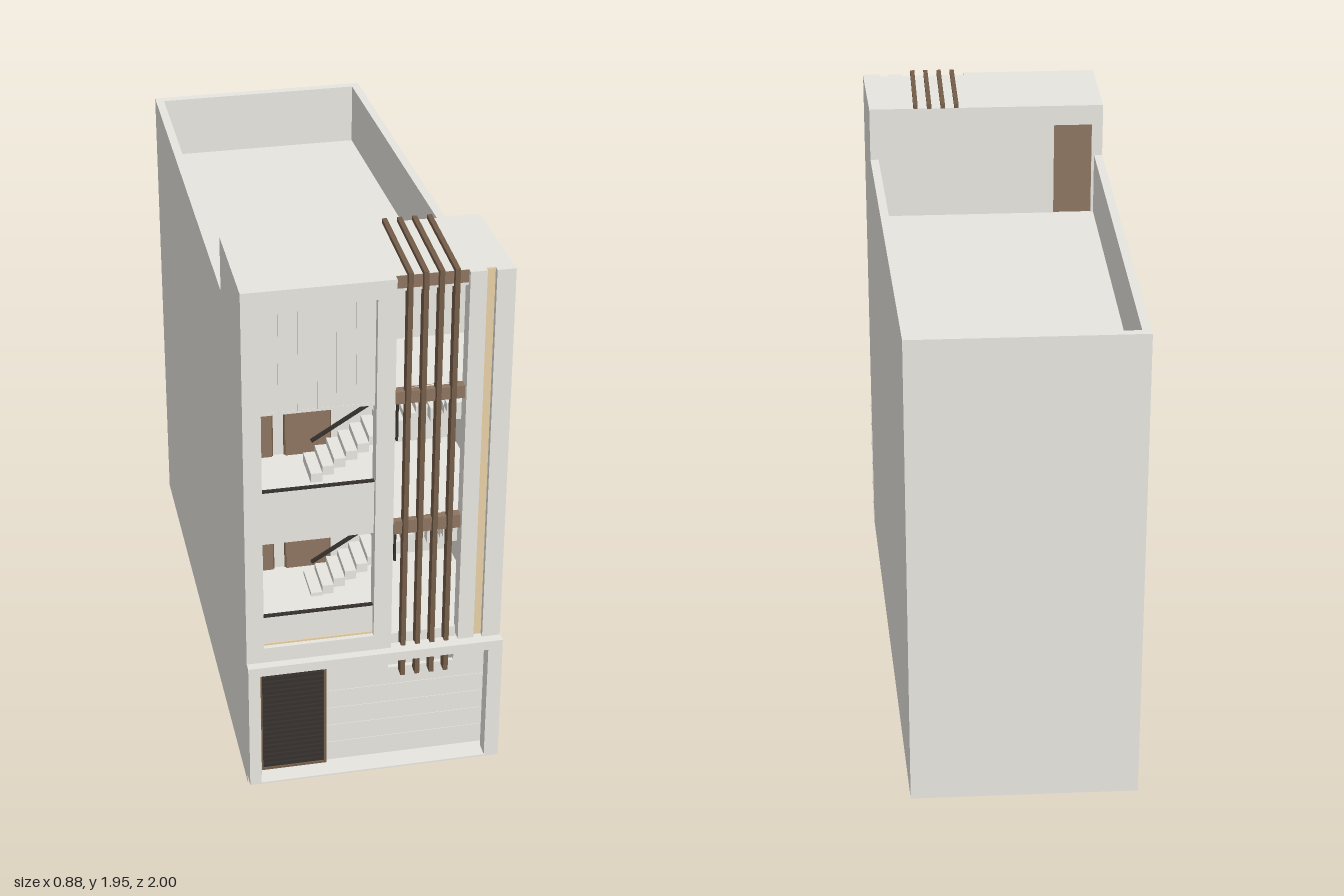
import * as THREE from 'three';

const mat = (name, color) => {
  const m = new THREE.MeshStandardMaterial({ color });
  m.name = name;
  return m;
};

export function createModel() {
  const house = new THREE.Group();
  house.name = 'townhouse';
  const wall = mat('warm grey plaster', 0xe7e5e0);
  const brown = mat('brown timber', 0x8d7560);
  const bronze = mat('bronze slats', 0x745d49);
  const black = mat('charcoal metal', 0x35302d);
  const tan = mat('amber light strip', 0xead2a7);

  const add = (geo, m, name) => {
    const mesh = new THREE.Mesh(geo, m);
    mesh.name = name;
    house.add(mesh);
    return mesh;
  };
  // box given by its limits
  const box = (name, m, x0, x1, y0, y1, z0, z1) => {
    const b = add(new THREE.BoxGeometry(x1 - x0, y1 - y0, z1 - z0), m, name);
    b.position.set((x0 + x1) / 2, (y0 + y1) / 2, (z0 + z1) / 2);
    return b;
  };
  // upright prism from a plan outline of [x, z] points
  const prism = (name, m, pts, y0, y1) => {
    const s = new THREE.Shape(pts.map(([x, z]) => new THREE.Vector2(x, -z)));
    const g = new THREE.ExtrudeGeometry(s, { depth: y1 - y0, bevelEnabled: false });
    g.rotateX(-Math.PI / 2).translate(0, y0, 0);
    return add(g, m, name);
  };
  // front plate from an outline of [x, y] points, with rectangular holes
  const plate = (name, m, pts, holes, z0, z1) => {
    const s = new THREE.Shape(pts.map(p => new THREE.Vector2(...p)));
    for (const [x0, x1, y0, y1] of holes) {
      s.holes.push(new THREE.Path([[x0, y0], [x0, y1], [x1, y1], [x1, y0]].map(p => new THREE.Vector2(...p))));
    }
    const g = new THREE.ExtrudeGeometry(s, { depth: z1 - z0, bevelEnabled: false });
    return add(g.translate(0, 0, z0), m, name);
  };

  const L = -0.44, T = 0.03, BACK = 0.46;
  const R = z => 0.345 + 0.092 * (z + 1) / 1.95;   // slanted right boundary
  const plan = (z0, z1) => [[L, z0], [L, z1], [R(z1), z1], [R(z0), z0]];
  const sideWalls = (z0, z1, y0, y1) => {
    box('leftBoundaryWall', wall, L, L + T, y0, y1, z0, z1);
    prism('rightBoundaryWall', wall, [[R(z0) - T, z0], [R(z1) - T, z1], [R(z1), z1], [R(z0), z0]], y0, y1);
  };

  // main body, roof parapet and front side walls
  prism('mainBody', wall, plan(-1, BACK), 0, 1.515);
  sideWalls(-1, 0.6, 1.515, 1.74);
  box('rearParapet', wall, L, R(-1), 1.515, 1.74, -1, -0.97);
  sideWalls(BACK, 0.945, 0, 1.515);
  sideWalls(0.575, 0.945, 1.515, 1.935);

  // floor slabs and tower roof
  prism('groundSlab', wall, plan(BACK, 0.945), 0, 0.03);
  for (const [y0, y1] of [[0.5, 0.55], [0.975, 1.02], [1.475, 1.515]]) {
    prism('floorSlab', wall, plan(BACK, 0.925), y0, y1);
  }
  prism('towerRoof', wall, plan(0.575, 0.945), 1.88, 1.935);

  // tower back wall with the roof door set into it
  const r = R(0.575);
  plate('towerBackWall', wall, [[L, 1.5], [r, 1.5], [r, 1.935], [L, 1.935]],
    [[-0.4, -0.26, 1.515, 1.86]], 0.575, 0.605);
  box('roofDoor', brown, -0.4, -0.26, 1.515, 1.86, 0.579, 0.6);

  // ground floor portal with recessed light strips along top and side
  plate('portalFrame', wall, [[L, 0.03], [0.44, 0.03], [0.44, 0.525], [L, 0.525]],
    [[-0.4, 0.39, 0.036, 0.49]], 0.945, 1);
  box('portalLightTop', tan, -0.4, 0.39, 0.48, 0.49, 0.95, 0.958);
  box('portalLightSide', tan, -0.4, -0.392, 0.036, 0.48, 0.95, 0.958);

  // garage front, notched below the stair screen
  plate('garagePanel', wall, [[-0.16, 0.03], [0.4, 0.03], [0.4, 0.5], [0.29, 0.5], [0.29, 0.4],
    [0.06, 0.4], [0.06, 0.5], [-0.16, 0.5]], [], 0.9, 0.915);
  for (let i = 1; i < 5; i++) box('garageRib', wall, -0.16, 0.395, 0.03 + i * 0.074, 0.034 + i * 0.074, 0.91, 0.917);

  // louvred entrance gate
  for (let i = 0; i < 22; i++) box('gateLouvre', black, -0.385, -0.165, 0.045 + i * 0.0195, 0.058 + i * 0.0195, 0.922, 0.932);
  for (const x of [-0.392, -0.169]) box('gatePost', bronze, x, x + 0.009, 0.036, 0.48, 0.918, 0.936);
  for (const y of [0.036, 0.472]) box('gateRail', bronze, -0.39, -0.16, y, y + 0.008, 0.918, 0.936);

  // balcony facade frame
  plate('balconyFrame', wall, [[L, 0.525], [0.056, 0.525], [0.056, 1.935], [L, 1.935]],
    [[-0.38, -0.005, 0.583, 1.87]], 0.92, 0.97);
  box('balconyLight', tan, -0.38, -0.005, 0.583, 0.59, 0.949, 0.954);
  for (const [y0, y1] of [[0.525, 0.695], [1.02, 1.187]]) {
    box('balconyParapet', wall, -0.385, 0, y0, y1, 0.925, 0.95);
    box('balconyCap', black, -0.38, -0.005, y1, y1 + 0.006, 0.938, 0.951);
  }
  box('lowerLintel', wall, -0.385, 0, 0.985, 1.02, 0.925, 0.946);
  box('upperLintel', wall, -0.385, 0, 1.475, 1.485, 0.925, 0.946);
  box('upperPanel', wall, -0.385, 0, 1.485, 1.88, 0.925, 0.945);
  for (let i = 0; i < 5; i++) box('panelRib', wall, -0.32 + i * 0.063, -0.315 + i * 0.063, 1.485, 1.87, 0.94, 0.949);

  // right column with a recessed vertical light
  box('columnInner', wall, 0.29, 0.345, 0.525, 1.935, 0.91, 0.965);
  prism('columnOuter', wall, [[0.375, 0.91], [0.375, 0.968], [0.437, 0.968], [R(0.91), 0.91]], 0.525, 1.935);
  box('columnBack', wall, 0.34, 0.38, 0.525, 1.935, 0.91, 0.945);
  box('columnLight', tan, 0.345, 0.375, 0.525, 1.932, 0.944, 0.948);

  // doors on the recessed wall of each storey
  for (const [y0, y1] of [[0.03, 0.465], [0.55, 0.967], [1.02, 1.462]]) {
    for (const [x0, x1] of [[-0.4, -0.255], [-0.218, -0.052]]) {
      box('doorFrame', bronze, x0, x1, y0, y1, BACK, BACK + 0.006);
      box('door', brown, x0 + 0.005, x1 - 0.005, y0, y1 - 0.005, BACK, BACK + 0.012);
    }
  }

  // stair screen: slab bands and tall slats folding over the roof
  for (const [y0, y1] of [[0.97, 1.02], [1.47, 1.515], [1.89, 1.934]]) {
    box('screenBand', brown, 0.056, 0.29, y0, y1, 0.915, 0.947);
  }
  for (const x of [0.1, 0.15, 0.2, 0.25]) {
    box('screenSlat', bronze, x - 0.008, x + 0.008, 0.4, 1.95, 0.928, 0.966);
    box('roofSlat', bronze, x - 0.008, x + 0.008, 1.934, 1.95, 0.575, 0.93);
  }

  // stairs behind the screen, with sloping handrails
  for (const y of [0.55, 1.04]) {
    for (let i = 0; i < 10; i++) {
      box('stairStep', wall, -0.16 + i * 0.04, -0.12 + i * 0.04, y + i * 0.025 - 0.02, y + i * 0.025 + 0.015, 0.52, 0.66);
    }
    box('stairLanding', wall, 0.24, 0.37, y + 0.2, y + 0.25, 0.52, 0.7);
    for (let i = 0; i < 5; i++) {
      box('upperStep', wall, 0.25, 0.37, y + 0.22 + i * 0.03, y + 0.25 + i * 0.03, 0.7 + i * 0.035, 0.735 + i * 0.035);
    }
    const rail = box('stairRail', black, -0.236, 0.236, -0.005, 0.005, 0.66, 0.672);
    rail.position.set(0.04, y + 0.275, 0.666);
    rail.rotation.z = Math.atan2(0.25, 0.4);
    for (const x of [0.13, 0.22]) box('railPost', black, x, x + 0.008, y + 0.1 + (x - 0.1) * 0.6, y + 0.33 + (x - 0.13) * 0.62, 0.66, 0.67);
  }
  return house;
}
